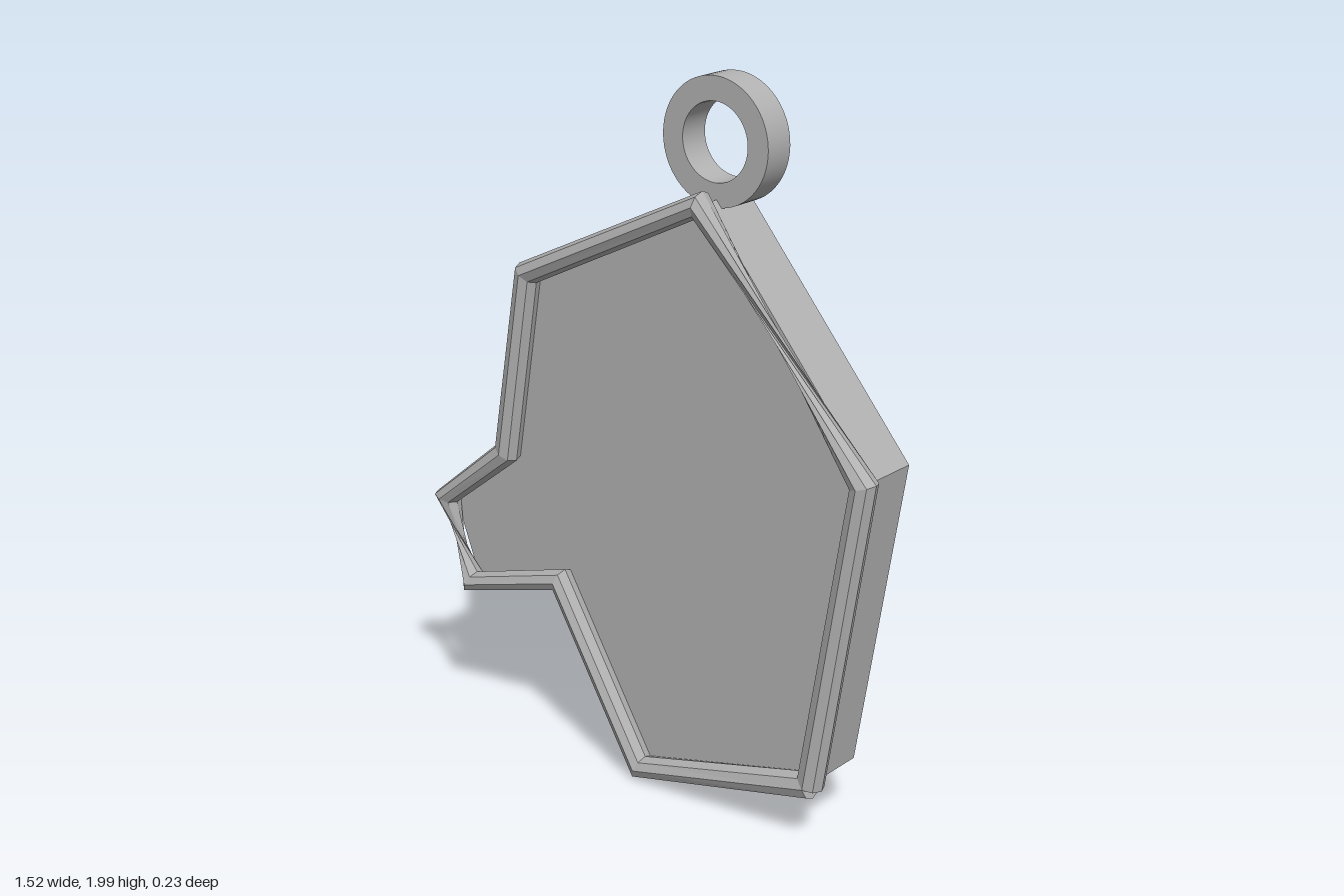
import * as THREE from 'three';

// Plate corners, counter-clockwise from the lower right
const CORNERS = [
  [0.58, 0.187], [0.72, 1.06], [0.197, 1.685], [-0.395, 1.4], [-0.485, 0.865],
  [-0.727, 0.672], [-0.635, 0.43], [-0.29, 0.53], [0, 0.045],
].map(([x, y]) => new THREE.Vector2(x, y));

// Open octagonal bead following the outline; two of its spans turn by half
function beadGeometry(radius, z, sides) {
  const path = [...CORNERS, CORNERS[0]];
  const last = path.length - 1;
  const pos = [];
  const index = [];
  const dir = (i) => path[i + 1].clone().sub(path[i]).normalize();
  path.forEach((p, i) => {
    const t = new THREE.Vector2();
    if (i > 0) t.add(dir(i - 1));
    if (i < last) t.add(dir(i));
    t.normalize();
    const flip = i >= 2 && i <= 5 ? -1 : 1;
    for (let j = 0; j < sides; j++) {
      const a = (j / sides) * Math.PI * 2;
      const out = Math.cos(a) * radius * flip;
      pos.push(p.x + t.y * out, p.y - t.x * out, z + Math.sin(a) * radius * flip);
    }
  });
  for (let i = 0; i < last; i++) {
    for (let j = 0; j < sides; j++) {
      const k = (j + 1) % sides;
      const a = i * sides + j, b = (i + 1) * sides + j;
      const c = (i + 1) * sides + k, d = i * sides + k;
      index.push(a, d, b, b, d, c);
    }
  }
  // end caps
  for (let j = 1; j < sides - 1; j++) {
    const e = last * sides;
    index.push(0, j + 1, j, e, e + j, e + j + 1);
  }
  const geo = new THREE.BufferGeometry();
  geo.setAttribute('position', new THREE.Float32BufferAttribute(pos, 3));
  geo.setIndex(index);
  const flat = geo.toNonIndexed();
  flat.computeVertexNormals();
  return flat;
}

export function createModel() {
  const model = new THREE.Group();
  model.name = 'pendant';
  const grey = new THREE.MeshStandardMaterial({ color: 0xb2b2b2, side: THREE.DoubleSide });
  grey.name = 'light grey';

  const add = (name, geometry) => {
    const mesh = new THREE.Mesh(geometry, grey);
    mesh.name = name;
    model.add(mesh);
    return mesh;
  };

  // Thick angular plate
  const plate = add('plate', new THREE.ExtrudeGeometry(new THREE.Shape(CORNERS), {
    depth: 0.167, bevelEnabled: false,
  }));
  plate.position.z = -0.117;

  // Raised bead around the front edge
  add('rim', beadGeometry(0.038, 0.079, 8));

  // Hanging ring: rectangular section with smooth round walls
  const ringShape = new THREE.Shape().absarc(0, 0, 0.168, 0, Math.PI * 2, false);
  ringShape.holes.push(new THREE.Path().absarc(0, 0, 0.104, 0, Math.PI * 2, true));
  const r0 = 0.104, r1 = 0.168, h = 0.045;
  const walls = [
    [[r1, -h], [r1, h]], [[r1, h], [r0, h]], [[r0, h], [r0, -h]], [[r0, -h], [r1, -h]],
  ];
  const ring = new THREE.Group();
  ring.name = 'hangingRing';
  walls.forEach((w, i) => {
    const wall = new THREE.Mesh(
      new THREE.LatheGeometry(w.map(([r, y]) => new THREE.Vector2(r, y)), 64), grey);
    wall.name = ['ringOuterWall', 'ringFrontFace', 'ringInnerWall', 'ringBackFace'][i];
    ring.add(wall);
  });
  ring.rotation.x = Math.PI / 2;
  ring.position.set(0.19, 1.832, -0.033);
  model.add(ring);

  return model;
}
